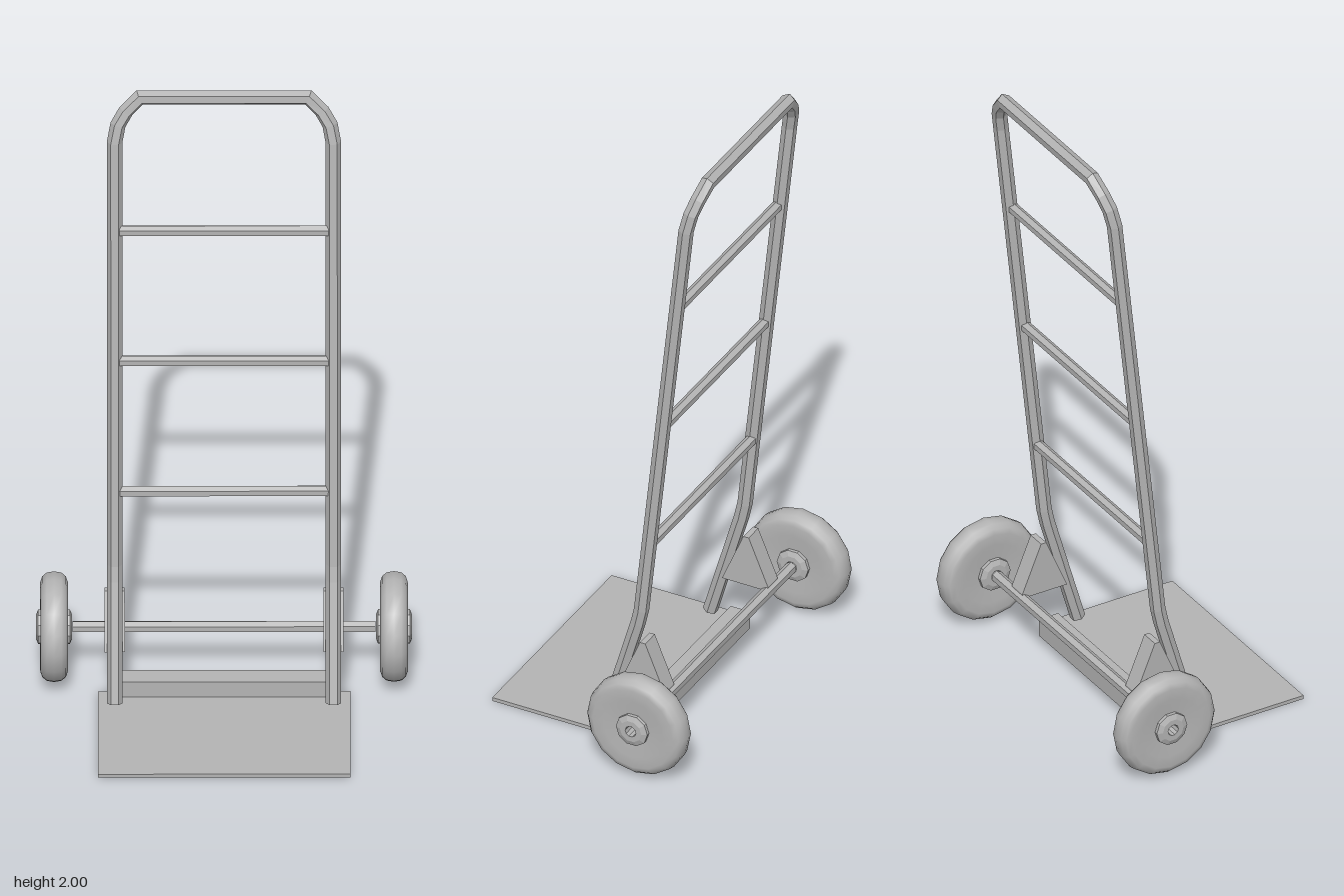
import * as THREE from 'three';

const steel = new THREE.MeshStandardMaterial({ color: 0xb4b4b4, side: THREE.DoubleSide });
steel.name = 'grey steel';

// Gives every face its own flat normal
function faceted(geometry) {
  const g = geometry.index ? geometry.toNonIndexed() : geometry;
  g.computeVertexNormals();
  return g;
}

function add(parent, name, geometry, x = 0, y = 0, z = 0) {
  const mesh = new THREE.Mesh(geometry, steel);
  mesh.name = name;
  mesh.position.set(x, y, z);
  parent.add(mesh);
  return mesh;
}

// Six-sided tube swept along a path, mitred at each bend
function hexTube(path, radius) {
  const pos = [], index = [];
  path.forEach((p, i) => {
    const a = p.clone().sub(path[Math.max(i - 1, 0)]).normalize();
    const b = path[Math.min(i + 1, path.length - 1)].clone().sub(p).normalize();
    const t = a.clone().add(b).normalize();
    const inner = i > 0 && i < path.length - 1;
    const mitre = inner ? 1 / Math.max(a.dot(t), 0.8) : 1;
    const depth = new THREE.Vector3(0, 0.12, 1);
    depth.addScaledVector(t, -depth.dot(t)).normalize();
    const side = t.clone().cross(depth).normalize();
    for (let k = 0; k < 6; k++) {
      const ang = k * Math.PI / 3;
      const v = p.clone()
        .addScaledVector(side, Math.cos(ang) * radius * mitre)
        .addScaledVector(depth, Math.sin(ang) * radius);
      pos.push(v.x, v.y, v.z);
      if (i > 0) {
        const n = (k + 1) % 6, r0 = (i - 1) * 6, r1 = i * 6;
        index.push(r0 + k, r0 + n, r1 + n, r0 + k, r1 + n, r1 + k);
      }
    }
  });
  const g = new THREE.BufferGeometry();
  g.setAttribute('position', new THREE.Float32BufferAttribute(pos, 3));
  g.setIndex(index);
  return faceted(g);
}

// Straight six-sided bar along x with an edge on top
function hexBar(length, radius) {
  const g = new THREE.CylinderGeometry(radius, radius, length, 6, 1, true);
  g.rotateY(Math.PI / 6);
  g.rotateZ(Math.PI / 2);
  return faceted(g);
}

function lathe(points, segments) {
  const g = new THREE.LatheGeometry(points.map(([r, y]) => new THREE.Vector2(r, y)), segments);
  g.rotateZ(Math.PI / 2);
  return g;
}

export function createModel() {
  const model = new THREE.Group();
  model.name = 'handTruck';

  // Bent frame: right leg, corner, top handle, mirrored to the left leg
  const half = [
    [0.325, 0.035, 0.005], [0.325, 0.40, -0.101], [0.325, 0.45, -0.112],
    [0.325, 1.84, -0.262], [0.315, 1.895, -0.273], [0.292, 1.935, -0.284], [0.25, 1.977, -0.295],
  ];
  const left = half.map(([x, y, z]) => new THREE.Vector3(x, y, z));
  const right = half.map(([x, y, z]) => new THREE.Vector3(-x, y, z)).reverse();
  add(model, 'frame', hexTube([...left, ...right], 0.023));

  // Cross bars
  for (const [y, z] of [[0.69, -0.14], [1.12, -0.184], [1.55, -0.228]]) {
    add(model, 'crossBar', hexBar(0.62, 0.0175), 0, y, z);
  }

  // Toe plate and its rear stiffener
  add(model, 'toePlate', new THREE.BoxGeometry(0.75, 0.012, 0.46), 0, 0.008, 0.135);
  add(model, 'plateStiffener', new THREE.BoxGeometry(0.65, 0.058, 0.066), 0, 0.038, -0.096);

  // Axle
  const axleY = 0.175, axleZ = -0.2;
  add(model, 'axle', hexBar(0.9, 0.0185), 0, axleY, axleZ);

  // Wedge brackets joining legs and axle (outline drawn in z, y)
  const wedge = new THREE.Shape([
    [0.05, 0.18], [0.205, 0.18], [0.205, 0.195], [0.14, 0.35], [0.122, 0.35],
  ].map(([x, y]) => new THREE.Vector2(x, y)));
  const bracket = new THREE.ExtrudeGeometry(wedge, { depth: 0.06, bevelEnabled: false });
  bracket.translate(0, 0, -0.03);
  bracket.rotateY(Math.PI / 2);

  // Tyre and hub profiles, as radius and width
  const tyre = lathe([
    [0.045, -0.036], [0.10, -0.04], [0.135, -0.041], [0.152, -0.035], [0.163, -0.022],
    [0.167, 0], [0.163, 0.022], [0.152, 0.035], [0.135, 0.041], [0.10, 0.04], [0.045, 0.036],
  ], 16);
  const hub = faceted(lathe([
    [0.018, -0.054], [0.036, -0.054], [0.053, -0.047], [0.053, 0.047],
    [0.036, 0.054], [0.018, 0.054], [0.018, -0.054],
  ], 10));

  for (const s of [1, -1]) {
    add(model, 'bracket', bracket, s * 0.325, 0, 0);
    const wheel = new THREE.Group();
    wheel.name = s > 0 ? 'leftWheel' : 'rightWheel';
    wheel.position.set(s * 0.505, axleY, axleZ);
    add(wheel, 'tyre', tyre);
    add(wheel, 'hub', hub);
    model.add(wheel);
  }
  return model;
}
